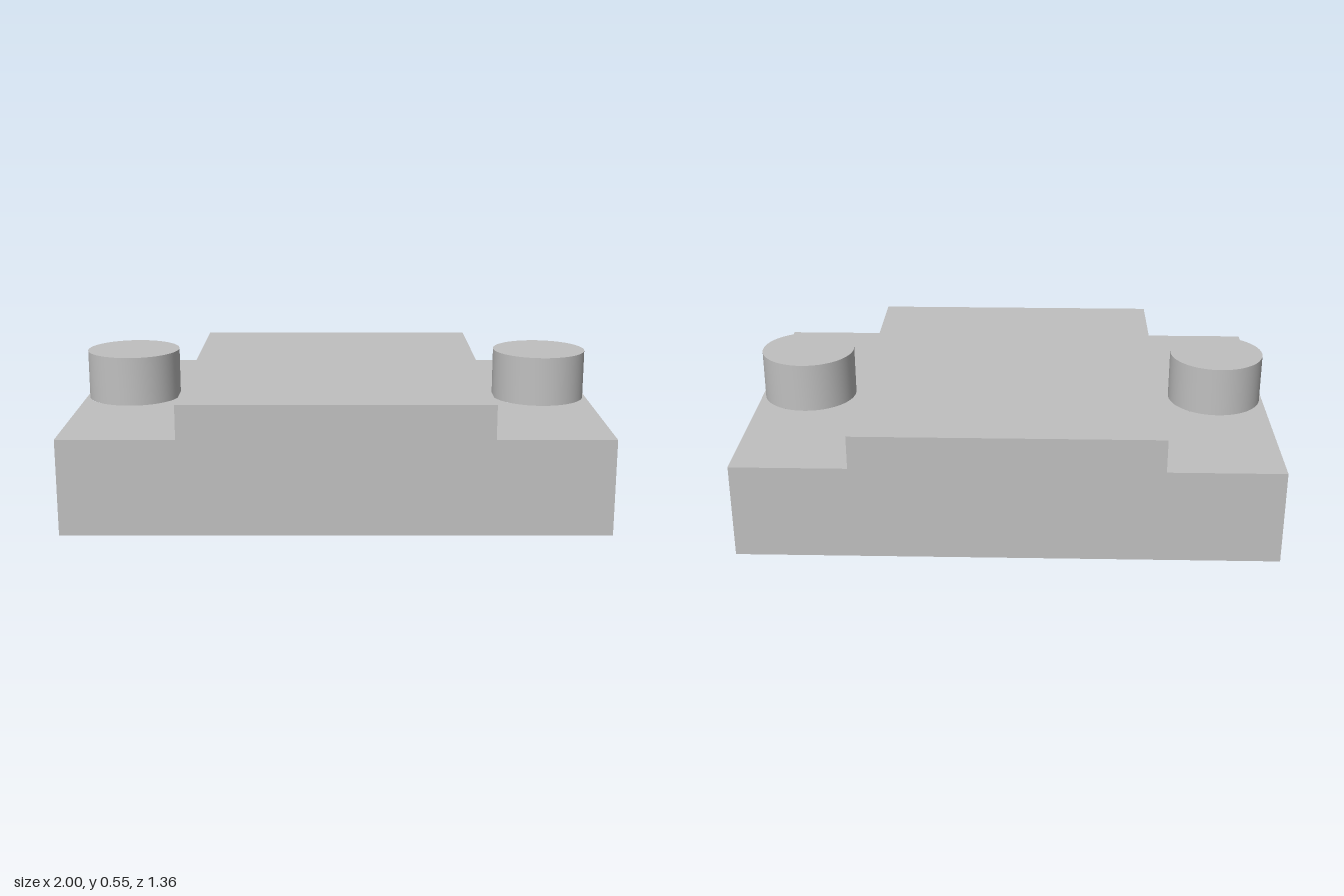
import * as THREE from 'three';
import { toCreasedNormals } from 'three/addons/utils/BufferGeometryUtils.js';

const D = 0.68;            // half depth
const SHELF = 0.358;       // height of the end shelves
const DECK = 0.485;        // height of the raised middle
const DECK_X = 0.57;       // half width of the raised middle
const CX = 0.81;           // stud and pocket axis
const STUD_R = 0.181, STUD_TOP = 0.548;
const POCKET_R = 0.232, POCKET_TOP = 0.26;
const BORE_R = 0.105, BORE_TOP = 0.46;
const A = Math.acos((1 - CX) / POCKET_R);   // half angle of the pocket mouth
const W = POCKET_R * Math.sin(A);           // half width of the pocket mouth

const polygon = (pts) => new THREE.Shape(pts.map(([x, y]) => new THREE.Vector2(x, y)));
const rect = (x0, y0, x1, y1) => polygon([[x0, y0], [x1, y0], [x1, y1], [x0, y1]]);
const circle = (x, r) => new THREE.Path().absarc(x, 0, r, 0, Math.PI * 2, true);

export function createModel() {
  const grey = new THREE.MeshStandardMaterial({ color: 0xc0c0c0 });
  grey.name = 'grey';

  const add = (parent, name, geometry) => {
    const mesh = new THREE.Mesh(geometry, grey);
    mesh.name = name;
    parent.add(mesh);
  };
  const flat = (shape) => new THREE.ShapeGeometry(shape, 48);
  const up = (shape, y) => flat(shape).rotateX(-Math.PI / 2).translate(0, y, 0);
  const down = (shape, y) => flat(shape).rotateX(Math.PI / 2).translate(0, y, 0);
  const outward = (shape, x) => flat(shape).rotateY(Math.PI / 2).translate(x, 0, 0);
  const turned = (pts, start = 0, length = Math.PI * 2) => toCreasedNormals(
    new THREE.LatheGeometry(pts.map(([x, y]) => new THREE.Vector2(x, y)), 64, start, length),
    0.6).translate(CX, 0, 0);

  const model = new THREE.Group();
  model.name = 'steppedBlock';

  // Stepped front and back faces
  const profile = polygon([[-1, 0], [1, 0], [1, SHELF], [DECK_X, SHELF], [DECK_X, DECK],
    [-DECK_X, DECK], [-DECK_X, SHELF], [-1, SHELF]]);
  add(model, 'frontFace', flat(profile).translate(0, 0, D));
  add(model, 'backFace', flat(profile).rotateY(Math.PI).translate(0, 0, -D));

  // Raised deck and notched underside
  add(model, 'deckTop', up(rect(-DECK_X, -D, DECK_X, D), DECK));
  const base = new THREE.Shape();
  base.moveTo(-1, -D).lineTo(1, -D).lineTo(1, -W);
  base.absarc(CX, 0, POCKET_R, -A, A, true);
  base.lineTo(1, D).lineTo(-1, D).lineTo(-1, W);
  base.absarc(-CX, 0, POCKET_R, Math.PI - A, Math.PI + A, true);
  base.closePath();
  add(model, 'underside', down(base, 0));

  // Both ends are the same, turned half a circle
  for (const [name, angle] of [['leftEnd', 0], ['rightEnd', Math.PI]]) {
    const end = new THREE.Group();
    end.name = name;
    end.rotation.y = angle;
    model.add(end);

    // End wall with the pocket mouth
    add(end, 'endWall', outward(polygon([[-D, 0], [-W, 0], [-W, POCKET_TOP], [W, POCKET_TOP],
      [W, 0], [D, 0], [D, SHELF], [-D, SHELF]]), 1));

    // Shelf and the step up to the deck
    const shelf = rect(DECK_X, -D, 1, D);
    shelf.holes.push(circle(CX, STUD_R));
    add(end, 'shelf', up(shelf, SHELF));
    add(end, 'step', outward(rect(-D, SHELF, D, DECK), DECK_X));

    // Stud on top
    add(end, 'stud', turned([[STUD_R, SHELF], [STUD_R, STUD_TOP], [0, STUD_TOP]]));

    // Round pocket below, with a blind bore up into the stud
    add(end, 'pocketWall', turned([[POCKET_R, POCKET_TOP], [POCKET_R, 0]],
      Math.PI / 2 + A, 2 * (Math.PI - A)));
    const ceiling = new THREE.Shape();
    ceiling.absarc(CX, 0, POCKET_R, A, 2 * Math.PI - A, false);
    ceiling.closePath();
    ceiling.holes.push(circle(CX, BORE_R));
    add(end, 'pocketCeiling', down(ceiling, POCKET_TOP));
    add(end, 'bore', turned([[0, BORE_TOP], [BORE_R, BORE_TOP], [BORE_R, POCKET_TOP]]));
  }
  return model;
}
